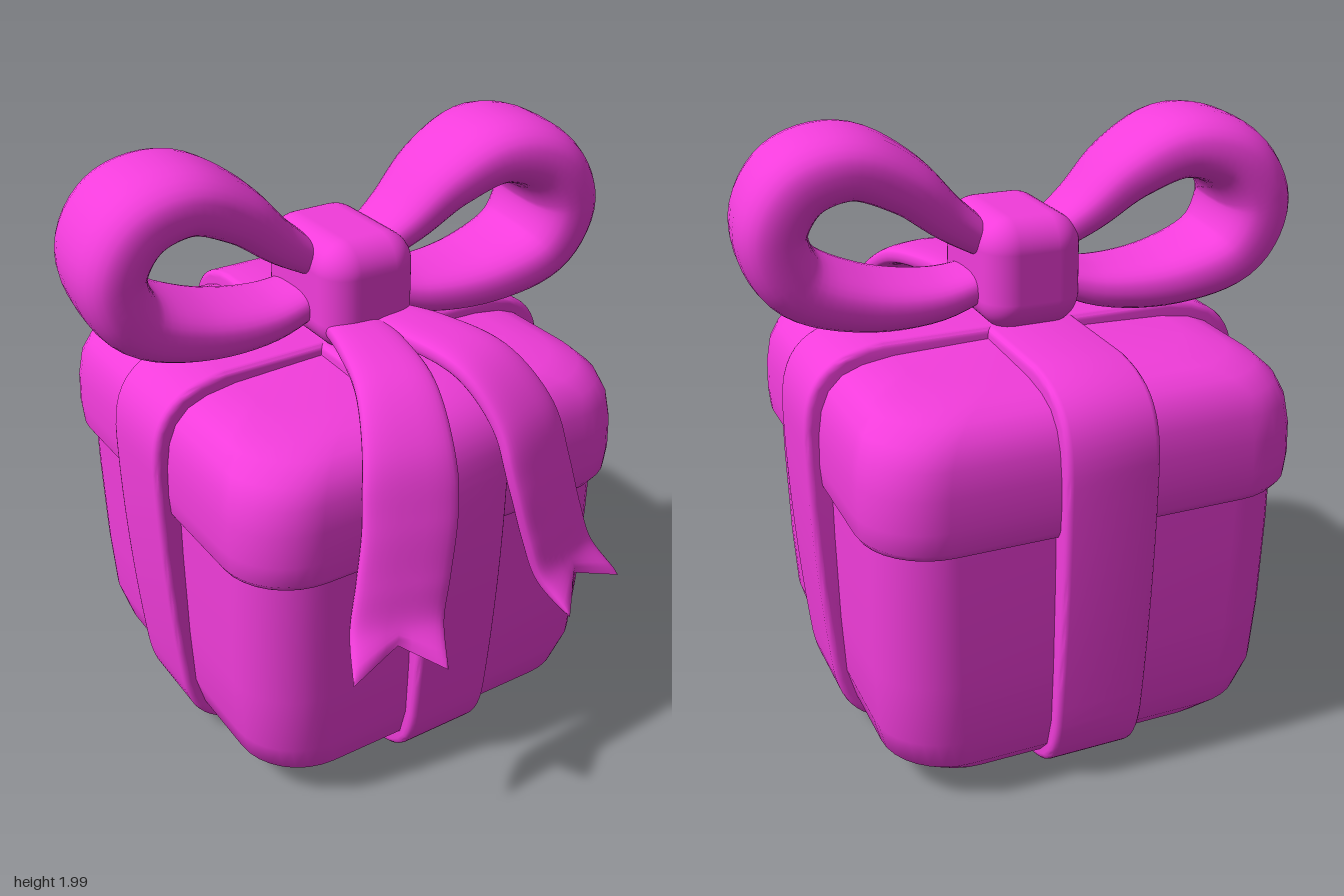
import * as THREE from 'three';
import { toCreasedNormals } from 'three/addons/utils/BufferGeometryUtils.js';
import { RoundedBoxGeometry } from 'three/addons/geometries/RoundedBoxGeometry.js';

const material = new THREE.MeshStandardMaterial({ color: 0xf23ddb, side: THREE.DoubleSide });

function part(name, geometry, parent) {
  const mesh = new THREE.Mesh(geometry, material);
  mesh.name = name;
  parent.add(mesh);
  return mesh;
}

// Skin through closed sections: point(i, j) gives corner i of section j
function skin(point, nu, nv) {
  const pos = [], index = [];
  for (let j = 0; j <= nv; j++) for (let i = 0; i < nu; i++) pos.push(...point(i, j).toArray());
  for (let j = 0; j < nv; j++) for (let i = 0; i < nu; i++) {
    const a = j * nu + i, b = j * nu + (i + 1) % nu;
    index.push(a, a + nu, b, b, a + nu, b + nu);
  }
  const g = new THREE.BufferGeometry();
  g.setAttribute('position', new THREE.Float32BufferAttribute(pos, 3));
  g.setIndex(index);
  g.computeVertexNormals();
  return g;
}

// Stack of rounded squares, profile rows are [height, half width]
function roundedStack(profile) {
  const m = 9;
  return skin((i, j) => {
    const [y, a] = profile[j];
    const r = Math.min(0.22, a * 0.5);
    const corner = Math.floor(i / m);
    const t = (corner + (i % m) / (m - 1)) * Math.PI / 2;
    const c = (corner + 0.5) * Math.PI / 2;
    return new THREE.Vector3(
      Math.sign(Math.cos(c)) * (a - r) + r * Math.cos(t), y,
      Math.sign(Math.sin(c)) * (a - r) + r * Math.sin(t));
  }, 4 * m, profile.length - 1);
}

const soft = (v, p) => Math.sign(v) * Math.pow(Math.abs(v), p);
const curve = pts => new THREE.CatmullRomCurve3(pts.map(p => new THREE.Vector3(...p)));

// Flat ribbon that runs round the box in one vertical plane
function wrapGeometry() {
  const b = 0.02, top = 1.37 - b, lo = 0.70 - b, hi = 0.75 - b;
  const s = new THREE.Shape();
  s.moveTo(-lo + 0.2, b);
  s.lineTo(lo - 0.2, b);
  s.bezierCurveTo(lo - 0.08, 0.04, lo - 0.02, 0.1, lo, 0.24);
  s.bezierCurveTo(lo + 0.03, 0.5, hi, 0.8, hi, 1.08);
  s.bezierCurveTo(hi, 1.25, hi - 0.05, top - 0.02, hi - 0.24, top);
  s.lineTo(-hi + 0.24, top);
  s.bezierCurveTo(-hi + 0.05, top - 0.02, -hi, 1.25, -hi, 1.08);
  s.bezierCurveTo(-hi, 0.8, -lo - 0.03, 0.5, -lo, 0.24);
  s.bezierCurveTo(-lo + 0.02, 0.1, -lo + 0.08, 0.04, -lo + 0.2, b);
  const g = new THREE.ExtrudeGeometry(s, {
    depth: 0.26, bevelSize: b, bevelThickness: b, bevelSegments: 3, curveSegments: 12 });
  g.translate(0, 0, -0.13);
  return toCreasedNormals(g, 0.7);
}

// Puffy bow loop, wide and thick at its outer end
function loopGeometry() {
  const path = curve([[0.06, 1.5, 0], [0.27, 1.44, 0], [0.52, 1.455, 0], [0.71, 1.54, 0],
    [0.77, 1.7, 0], [0.69, 1.84, 0], [0.53, 1.885, 0], [0.36, 1.81, 0], [0.22, 1.69, 0], [0.06, 1.58, 0]]);
  const nu = 28, nv = 56;
  return skin((i, j) => {
    const t = j / nv, a = i / nu * Math.PI * 2;
    const p = path.getPoint(t), d = path.getTangent(t);
    const n = new THREE.Vector3(d.y, -d.x, 0);
    const swell = Math.sin(Math.PI * t);
    const h = 0.045 + 0.07 * swell, w = 0.11 + 0.12 * swell;
    p.addScaledVector(n, h * soft(Math.cos(a), 0.8));
    p.z += w * soft(Math.sin(a), 0.7);
    return p;
  }, nu, nv);
}

// Hanging ribbon end with a notched tip, side is -1 or 1
function tailGeometry(side) {
  const path = curve([[0.04, 1.42, 0.12], [0.1, 1.44, 0.36], [0.16, 1.41, 0.58], [0.21, 1.28, 0.72],
    [0.24, 1.1, 0.78], [0.28, 0.92, 0.81], [0.32, 0.78, 0.84], [0.37, 0.68, 0.94]]
    .map(([x, y, z]) => [side * x, y, z]));
  const nu = 32, nv = 50;
  const across = new THREE.Vector3(Math.cos(0.3), 0, -side * Math.sin(0.3));
  return skin((i, j) => {
    const s = j / nv, a = i / nu * Math.PI * 2;
    const u = soft(Math.sin(a), 0.8);
    const t = s * (1 - 0.09 * (1 - Math.abs(u)) * s * s);
    const p = path.getPoint(t), d = path.getTangent(t);
    const n = d.clone().cross(across).normalize();
    const w = 0.09 + 0.055 * Math.min(1, s * 2);
    const h = 0.035 * Math.sqrt(Math.max(0, 1 - Math.pow(s, 14)));
    return p.addScaledVector(n, h * soft(Math.cos(a), 0.6)).addScaledVector(across, w * u);
  }, nu, nv);
}

export function createModel() {
  const model = new THREE.Group();
  model.name = 'giftBox';
  const gift = new THREE.Group();
  gift.name = 'gift';
  gift.position.set(-0.04, 0, -0.035);
  gift.rotation.y = 0.709;
  model.add(gift);

  // Box and lid
  part('boxBody', roundedStack([[0.03, 0], [0.03, 0.4], [0.04, 0.5], [0.07, 0.575], [0.13, 0.63],
    [0.24, 0.66], [0.45, 0.67], [0.75, 0.675], [0.96, 0.675]]), gift);
  part('lid', roundedStack([[0.93, 0.6], [0.905, 0.67], [0.905, 0.69], [0.93, 0.705], [1.0, 0.71],
    [1.1, 0.707], [1.18, 0.695], [1.24, 0.67], [1.285, 0.625], [1.31, 0.56], [1.325, 0.46], [1.34, 0]]), gift);

  // Crossed ribbons
  const wrap = wrapGeometry();
  part('sideRibbon', wrap, gift);
  part('frontRibbon', wrap, gift).rotation.y = Math.PI / 2;

  // Bow
  const bow = new THREE.Group();
  bow.name = 'bow';
  bow.rotation.y = -0.13;
  gift.add(bow);
  const loop = loopGeometry();
  part('leftLoop', loop, bow);
  part('rightLoop', loop, bow).rotation.y = Math.PI;
  part('knot', new RoundedBoxGeometry(0.33, 0.36, 0.46, 6, 0.1), gift).position.set(0, 1.53, 0.02);
  part('leftTail', tailGeometry(1), gift);
  part('rightTail', tailGeometry(-1), gift);
  return model;
}
